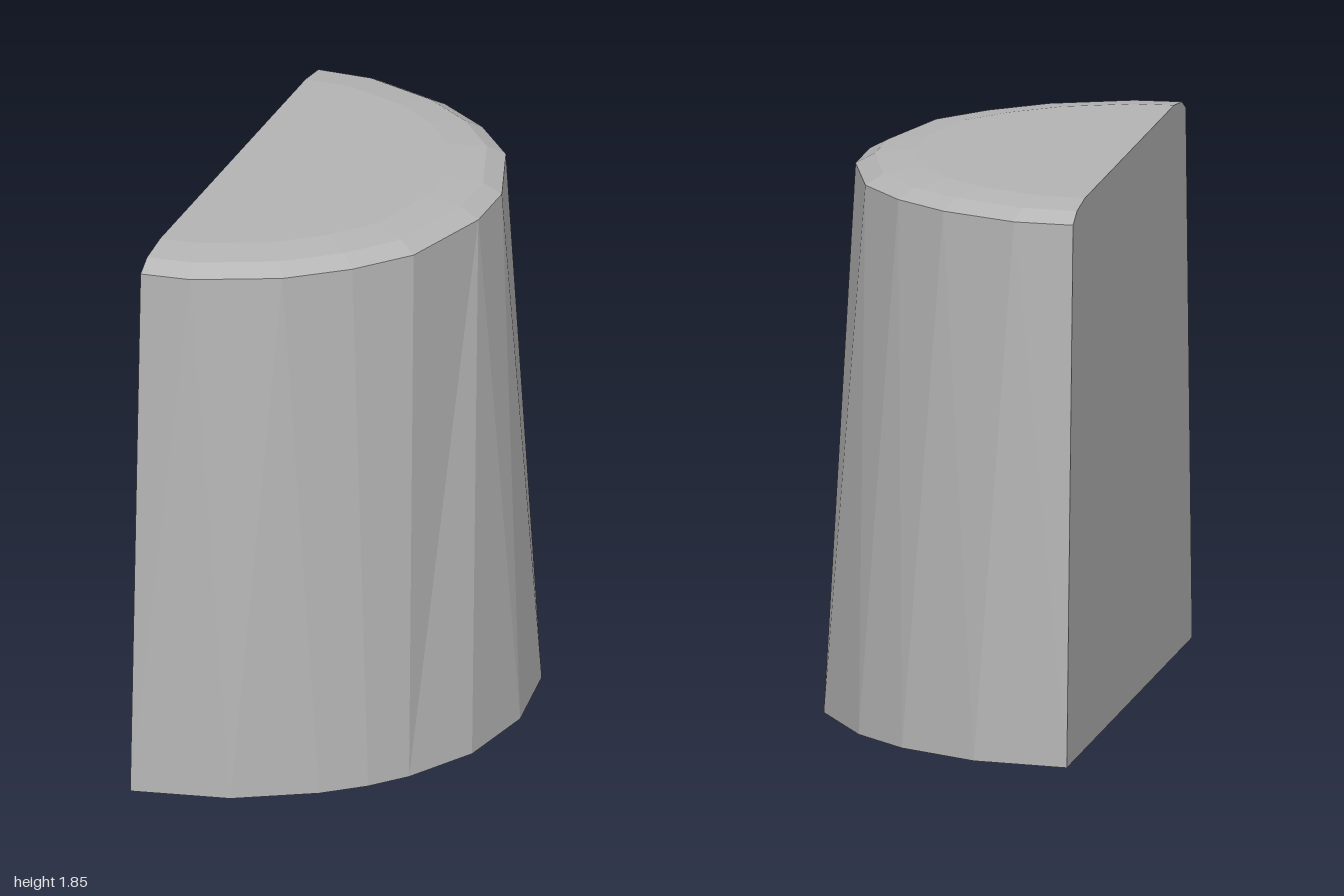
import * as THREE from 'three';

// Outlines as [x, z], running from the back corner round to the front corner
const FOOT = [[-0.5, -1], [-0.18, -0.96], [0.09, -0.82], [0.27, -0.65], [0.45, -0.35], [0.5, 0],
  [0.45, 0.33], [0.32, 0.58], [0.22, 0.7], [0.09, 0.81], [-0.17, 0.95], [-0.5, 1]];
const RIM = [[-0.5, -0.9], [-0.3, -0.89], [-0.04, -0.78], [0.14, -0.64], [0.29, -0.45], [0.39, -0.13],
  [0.39, 0.1], [0.29, 0.45], [0.14, 0.63], [-0.05, 0.78], [-0.33, 0.89], [-0.5, 0.9]];

// Place an outline at a height, shrunk toward the middle of the flat wall
const ring = (outline, y, s = 1) =>
  outline.map(([x, z]) => new THREE.Vector3(-0.5 + (x + 0.5) * s, y, z * s));

function surface(triangles) {
  const geometry = new THREE.BufferGeometry().setFromPoints(triangles);
  geometry.computeVertexNormals(); // unshared corners give flat facets
  return geometry;
}

// Faceted band between two rings; the diagonals mirror from back to front
function band(low, high) {
  const out = [];
  const n = low.length;
  for (let i = 0; i < n; i++) {
    const j = (i + 1) % n;
    if (i < n / 2) out.push(low[i], high[i], high[j], low[i], high[j], low[j]);
    else out.push(low[i], high[i], low[j], low[j], high[i], high[j]);
  }
  return out;
}

// Flat convex cap
function cap(points, up) {
  const out = [];
  for (let i = 1; i < points.length - 1; i++) {
    if (up) out.push(points[0], points[i + 1], points[i]);
    else out.push(points[0], points[i], points[i + 1]);
  }
  return out;
}

export function createModel() {
  const group = new THREE.Group();
  group.name = 'halfTaperedPillar';
  const stone = new THREE.MeshStandardMaterial({ color: 0xb4b4b4, flatShading: true });
  stone.name = 'grey stone';

  const foot = ring(FOOT, 0);
  const rim = ring(RIM, 1.8);
  const shoulder = ring(RIM, 1.834, 0.93);
  const crown = ring(RIM, 1.85, 0.79);

  const add = (name, triangles) => {
    const mesh = new THREE.Mesh(surface(triangles), stone);
    mesh.name = name;
    group.add(mesh);
  };
  // Tapered sides together with the flat wall
  add('body', band(foot, rim));
  // Worn, rounded upper edge
  add('bevelledEdge', [...band(rim, shoulder), ...band(shoulder, crown)]);
  add('top', cap(crown, true));
  add('base', cap(foot, false));
  return group;
}
